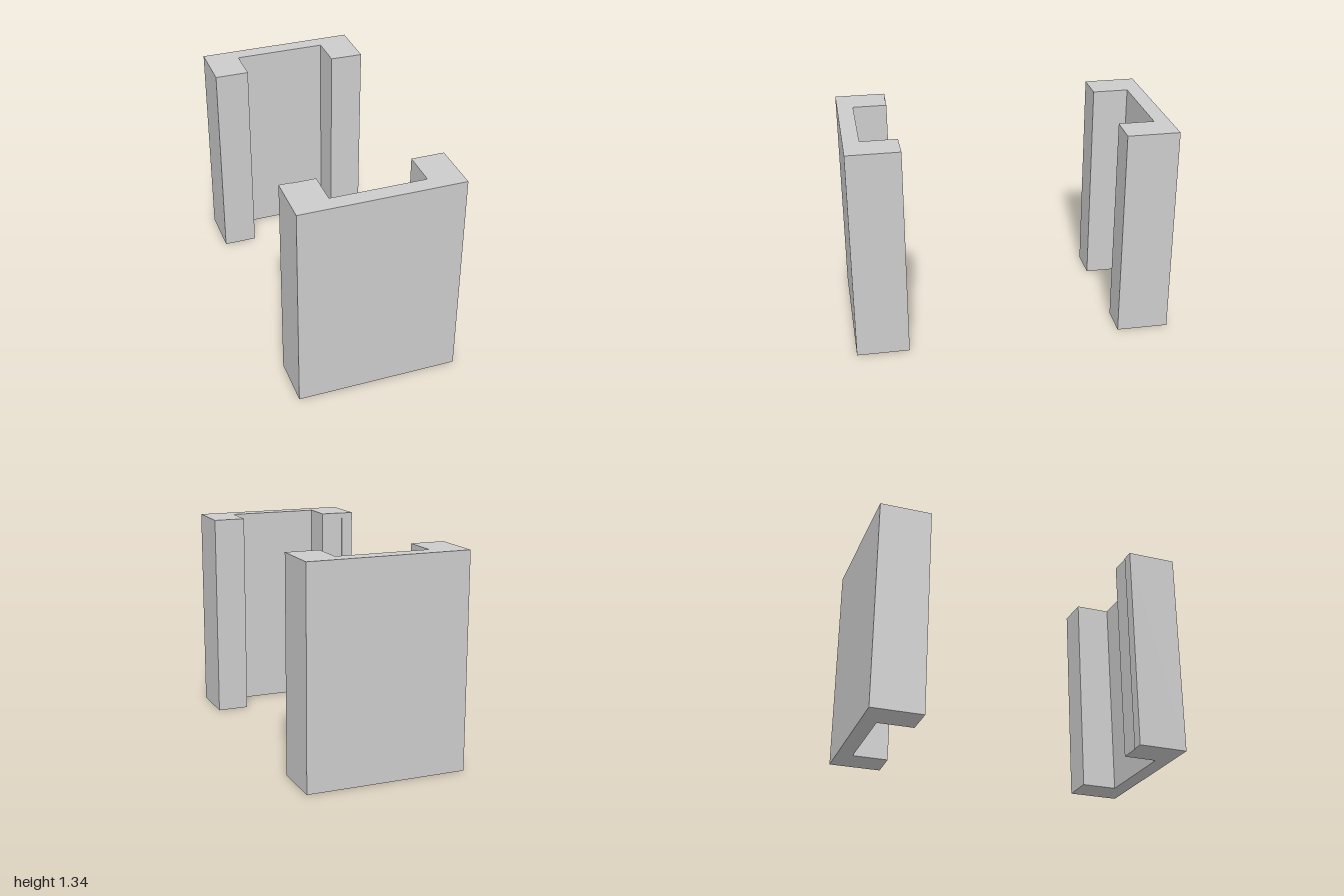
import * as THREE from 'three';

const HEIGHT = 1.34;
const HALF_WIDTH = 0.505;
const OUTER = 1;    // distance of the outer face from the centre
const INNER = 0.9;  // distance of the recessed inner face

// Upright C-shaped channel. side is +1 (front) or -1 (back); each flange gives
// its inner x edge and the distances of its end face at the corner and inside.
function channel(name, side, right, left, material) {
  const outline = [
    [-HALF_WIDTH, OUTER],
    [HALF_WIDTH, OUTER],
    [HALF_WIDTH, left.corner],
    [left.x, left.inside],
    [left.x, INNER],
    [right.x, INNER],
    [right.x, right.inside],
    [right.step, right.inside],
    [right.step, right.corner],
    [-HALF_WIDTH, right.corner],
  ].map(([x, z]) => new THREE.Vector2(x, -side * z));

  const geometry = new THREE.ExtrudeGeometry(new THREE.Shape(outline), {
    depth: HEIGHT,
    bevelEnabled: false,
  });
  geometry.rotateX(-Math.PI / 2); // plan outline rises along y
  const mesh = new THREE.Mesh(geometry, material);
  mesh.name = name;
  return mesh;
}

export function createModel() {
  const group = new THREE.Group();
  group.name = 'channelPair';
  const material = new THREE.MeshStandardMaterial({ color: 0xcccccc, flatShading: true });

  // Front channel, with a slight step on its right flange
  group.add(channel('frontChannel', 1,
    { x: -0.285, step: -0.43, corner: 0.683, inside: 0.688 },
    { x: 0.3, corner: 0.672, inside: 0.672 }, material));

  // Back channel, opening towards the front one
  group.add(channel('backChannel', -1,
    { x: -0.29, step: -0.4, corner: 0.673, inside: 0.673 },
    { x: 0.295, corner: 0.673, inside: 0.677 }, material));

  return group;
}
